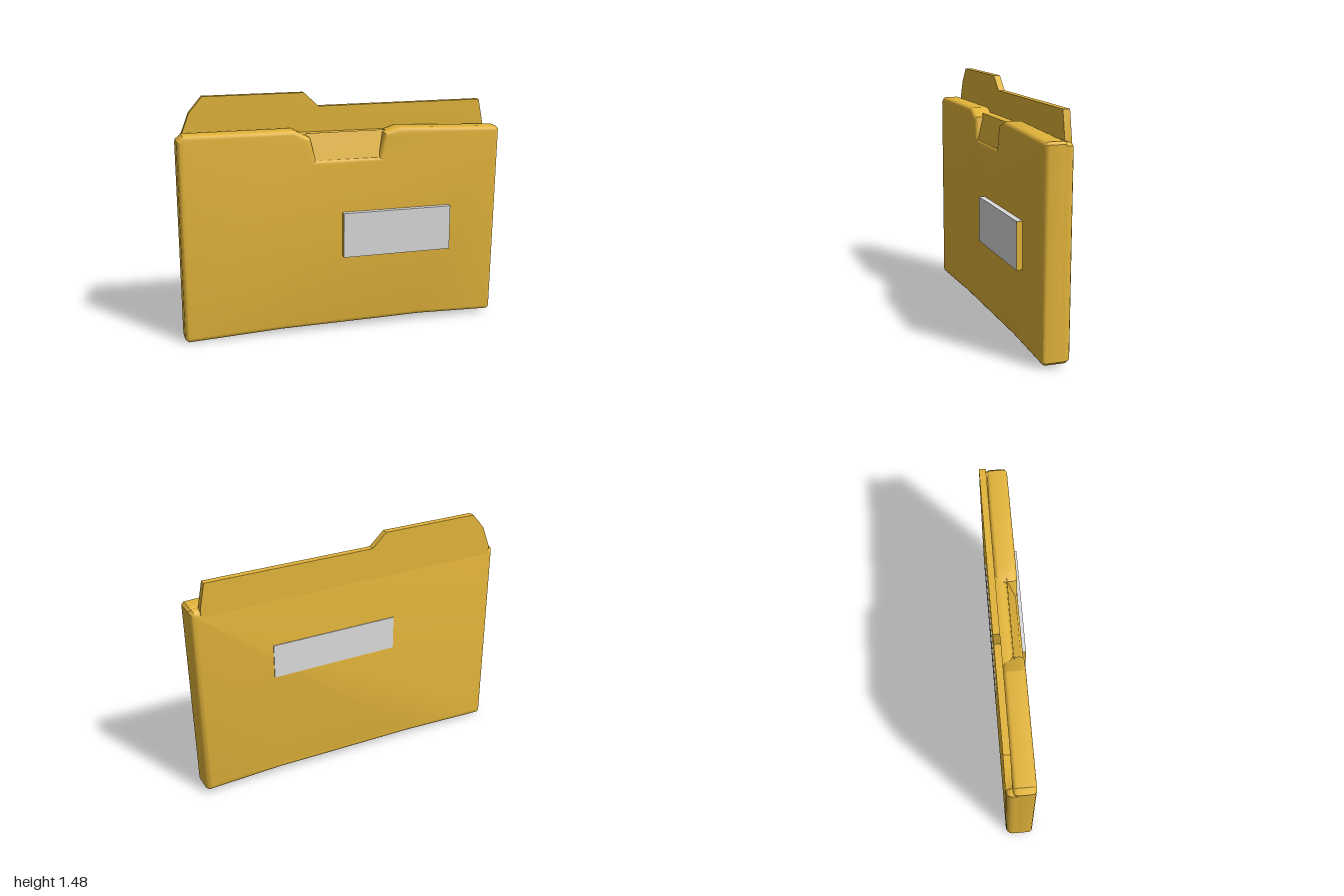
import * as THREE from 'three';
import { toCreasedNormals } from 'three/addons/utils/BufferGeometryUtils.js';

export function createModel() {
  const folder = new THREE.Group();
  folder.name = 'folder';

  const yellow = new THREE.MeshStandardMaterial({ color: 0xe2b43a });
  yellow.name = 'folderYellow';
  const grey = new THREE.MeshStandardMaterial({ color: 0xdcdcdc });
  grey.name = 'labelGrey';

  function add(name, geometry, material) {
    const mesh = new THREE.Mesh(geometry, material);
    mesh.name = name;
    folder.add(mesh);
    return mesh;
  }

  // Slab between two depths; the bevel is cut inwards from the outline
  function slab(name, points, z0, z1, bevel) {
    const shape = new THREE.Shape(points.map(([x, y]) => new THREE.Vector2(x, y)));
    const geometry = new THREE.ExtrudeGeometry(shape, {
      depth: z1 - z0 - 2 * bevel,
      bevelEnabled: bevel > 0,
      bevelThickness: bevel,
      bevelSize: bevel,
      bevelOffset: -bevel,
      bevelSegments: 4,
    });
    geometry.translate(0, 0, z0 + bevel);
    return add(name, toCreasedNormals(geometry, 0.45), yellow);
  }

  // Slightly sagging lower edge shared by the cover and the core
  const lowerEdge = [
    [-1, 0.02], [-0.98, 0], [-0.4, 0.025], [0.1, 0.03], [0.5, 0.035],
    [0.97, 0.02], [0.985, 0.035],
  ];

  // Front cover with the thumb notch in its upper edge
  slab('frontCover', [
    ...lowerEdge,
    [1, 1.22], [0.985, 1.235], [0.34, 1.26],
    [0.25, 1.23], [0.215, 1.085], [-0.18, 1.085], [-0.21, 1.22],
    [-0.31, 1.27], [-0.965, 1.27], [-1, 1.24],
  ], -0.06, 0.07, 0.027);

  // Padded contents, rounded towards the back
  slab('core', [
    ...lowerEdge, [0.998, 1.21], [0.98, 1.23], [-0.97, 1.24], [-1, 1.22],
  ], -0.1, 0.01, 0.04);

  // Back panel with the raised tab
  slab('backPanel', [
    [-0.95, 0.05], [0.94, 0.07], [0.94, 1.24], [0.91, 1.39], [-0.13, 1.39],
    [-0.22, 1.475], [-0.83, 1.475], [-0.91, 1.38], [-0.96, 1.25],
  ], -0.1, -0.06, 0);

  // Sloping floor of the thumb notch
  const slope = new THREE.PlaneGeometry(0.5, 0.2);
  slope.rotateX(-Math.atan2(0.058, 0.19));
  slope.translate(0.02, 1.145, 0.038);
  add('notchSlope', slope, yellow);

  // Raised front label: grey face and top, yellow rim
  const frontLabel = add('frontLabel', new THREE.BoxGeometry(0.69, 0.28, 0.035),
    [yellow, yellow, grey, yellow, grey, yellow]);
  frontLabel.position.set(0.328, 0.613, 0.0875);

  // Flat label on the back
  const backLabel = add('backLabel', new THREE.BoxGeometry(0.8, 0.21, 0.006), grey);
  backLabel.position.set(0.12, 0.805, -0.102);

  return folder;
}
